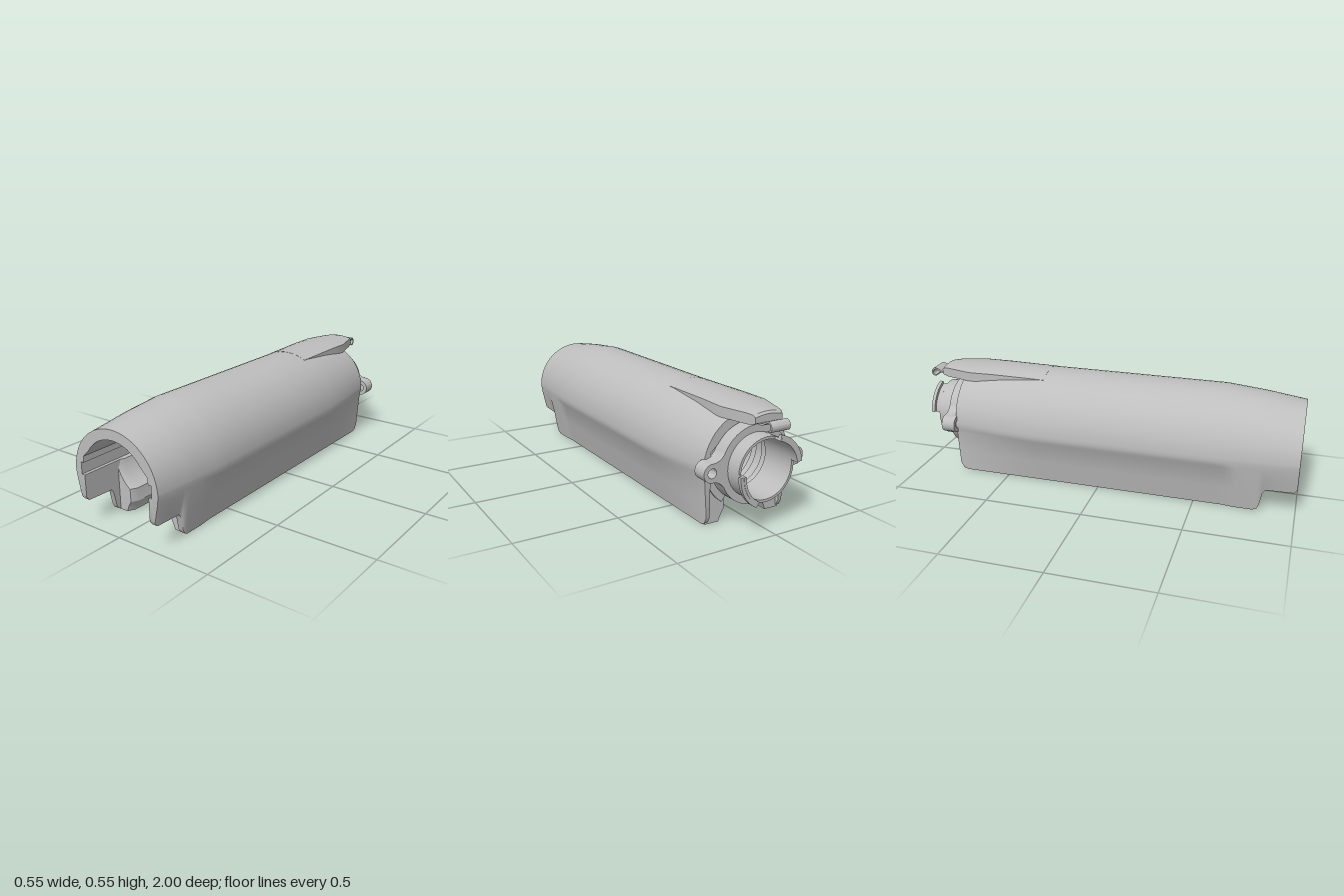
import * as THREE from 'three';
import { toCreasedNormals } from 'three/addons/utils/BufferGeometryUtils.js';

const CY = 0.272; // bore axis height

// Piecewise linear lookup; keys run in descending z
function ramp(keys, z) {
  for (let i = 0; i < keys.length - 1; i++) {
    const [z0, v0] = keys[i], [z1, v1] = keys[i + 1];
    if (z >= z1) return v0 + (v1 - v0) * Math.min(1, Math.max(0, (z - z0) / (z1 - z0)));
  }
  return keys[keys.length - 1][1];
}

// Skin a closed counter-clockwise section through descending z stations
function loft(stations, section, crease = 0.5) {
  const pos = [], idx = [];
  const rings = stations.map(section);
  const n = rings[0].length;
  rings.forEach((ring, i) => ring.forEach(([x, y]) => pos.push(x, y, stations[i])));
  for (let i = 0; i < rings.length - 1; i++) {
    for (let j = 0; j < n; j++) {
      const a = i * n + j, b = i * n + (j + 1) % n, c = a + n, d = b + n;
      idx.push(a, c, b, b, c, d);
    }
  }
  const cap = (k, flip) => {
    const pts = rings[k].map(([x, y]) => new THREE.Vector2(x, y));
    for (const [a, b, c] of THREE.ShapeUtils.triangulateShape(pts, [])) {
      const o = k * n;
      idx.push(o + a, o + (flip ? c : b), o + (flip ? b : c));
    }
  };
  cap(0, false);
  cap(rings.length - 1, true);
  const geo = new THREE.BufferGeometry();
  geo.setAttribute('position', new THREE.Float32BufferAttribute(pos, 3));
  geo.setIndex(idx);
  return toCreasedNormals(geo, crease);
}

// Extrude an xy shape between two z values
function slab(shape, zBack, zFront) {
  const geo = new THREE.ExtrudeGeometry(shape, { depth: zFront - zBack, bevelEnabled: false, curveSegments: 24 });
  return toCreasedNormals(geo.translate(0, 0, zBack), 0.5);
}

const halfWidth = [[1, 0.247], [0.8, 0.263], [0.6, 0.274], [-0.35, 0.274], [-0.55, 0.259], [-0.78, 0.232]];
const topHeight = [[1, 0.507], [0.8, 0.535], [0.6, 0.554], [-0.35, 0.552], [-0.55, 0.535], [-0.78, 0.505]];
const bottom = [[1, 0.14], [0.985, 0.122], [0.85, 0.118], [0.838, 0.1], [0.825, 0.03], [0.815, 0.01],
  [0.795, 0], [-0.74, 0], [-0.765, 0.01], [-0.78, 0.04]];
const footX = [[0.84, 0.222], [0.8, 0.218], [0.7, 0.218], [0.64, 0.211]];
const ledge = [[0.7, 0.006], [0.64, 0.014], [-0.35, 0.014], [-0.78, 0.008]];

// Arched wall: outer skin with soft side ledge, inner channel with a groove
function shellSection(z) {
  const w = ramp(halfWidth, z), h = ramp(topHeight, z) - 0.265;
  const yb = ramp(bottom, z), fx = ramp(footX, z), lx = w - ramp(ledge, z);
  const outer = [[fx, yb], [(fx + lx) / 2, (yb + 0.226) / 2], [lx, 0.226], [w - 0.004, 0.242], [w, 0.265]];
  for (let i = 0; i < 14; i++) {
    const a = (i + 0.5) / 14 * Math.PI / 2;
    outer.push([w * Math.cos(a), 0.265 + h * Math.sin(a)]);
  }
  const inner = [[0.193, yb], [0.193, 0.25], [0.21, 0.25], [0.21, 0.31], [0.193, 0.31], [0.193, 0.34]];
  for (let i = 0; i < 8; i++) {
    const a = (30 + 60 * (i + 0.5) / 8) * Math.PI / 180;
    inner.push([0.187 * Math.cos(a), CY + 0.187 * Math.sin(a)]);
  }
  const flip = (pts) => pts.map(([x, y]) => [-x, y]);
  return [...outer, ...flip(outer).reverse(), ...flip(inner), ...inner.slice().reverse()];
}

// Raised top tongue that overhangs the back
const tongueWidth = [[-0.32, 0.116], [-0.74, 0.122], [-0.82, 0.1], [-0.92, 0.072]];
const tongueTop = [[-0.32, 0.553], [-0.6, 0.551], [-0.88, 0.537], [-0.91, 0.532], [-0.92, 0.522]];
const tongueBase = [[-0.32, 0.505], [-0.7, 0.48], [-0.9, 0.477], [-0.92, 0.487]];
const tongueDrop = [[-0.32, 0.027], [-0.6, 0.022], [-0.92, 0.01]];
function tongueSection(z) {
  const w = ramp(tongueWidth, z), t = ramp(tongueTop, z), b = ramp(tongueBase, z);
  const pts = [[-w, b], [w, b]];
  for (let i = 0; i <= 10; i++) {
    const u = 1 - i / 5;
    pts.push([w * u, t - ramp(tongueDrop, z) * u * u]);
  }
  return pts;
}

// Flange outline with two screw ears
function flangeShape() {
  const s = new THREE.Shape(), r = 0.183, a = 0.42;
  const ex = 0.228, er = 0.043;
  const cx = r * Math.cos(a), sy = r * Math.sin(a);
  s.absarc(0, CY, r, a, Math.PI - a, false);
  s.quadraticCurveTo(-0.19, CY + er, -ex, CY + er);
  s.absarc(-ex, CY, er, Math.PI / 2, Math.PI * 1.5, false);
  s.quadraticCurveTo(-0.19, CY - er, -cx, CY - sy);
  s.absarc(0, CY, r, Math.PI + a, Math.PI * 2 - a, false);
  s.quadraticCurveTo(0.19, CY - er, ex, CY - er);
  s.absarc(ex, CY, er, -Math.PI / 2, Math.PI / 2, false);
  s.quadraticCurveTo(0.19, CY + er, cx, CY + sy);
  const hole = (x, rad) => s.holes.push(new THREE.Path().absarc(x, CY, rad, 0, Math.PI * 2, true));
  hole(0, 0.137);
  hole(ex, 0.022);
  hole(-ex, 0.022);
  return s;
}

// Part of a ring, angles in degrees
function sector(r0, r1, from, to) {
  const a = from * Math.PI / 180, b = to * Math.PI / 180;
  const s = new THREE.Shape();
  s.absarc(0, CY, r1, a, b, false);
  s.absarc(0, CY, r0, b, a, true);
  return s;
}

// Rail along the inside of each lower wall, chamfered at its front end
function railSection(z, side) {
  const c = ramp([[0.8, 0.018], [0.765, 0]], z);
  const pts = [[0.206, 0], [0.206, 0.25], [0.184 + c, 0.25]];
  for (let i = 1; i <= 8; i++) {
    const a = -(7 + 48 * i / 8) * Math.PI / 180;
    pts.push([0.185 * Math.cos(a) + c, CY + 0.185 * Math.sin(a)]);
  }
  for (const [x, y] of [[0.105, 0.055], [0.115, 0.04], [0.125, 0.02], [0.132, 0]]) pts.push([x + c, y]);
  return side > 0 ? pts : pts.map(([x, y]) => [-x, y]).reverse();
}

// Thin curled strip at the tip of the tongue
function hookGeometry() {
  const path = new THREE.CatmullRomCurve3([[0.89, 0.486], [0.935, 0.485], [0.958, 0.497], [0.98, 0.504],
    [0.996, 0.488], [0.992, 0.469], [0.976, 0.464]].map(([a, y]) => new THREE.Vector3(a, y, 0)));
  const left = [], right = [];
  for (let i = 0; i <= 28; i++) {
    const p = path.getPoint(i / 28), t = path.getTangent(i / 28);
    left.push(new THREE.Vector2(p.x - t.y * 0.004, p.y + t.x * 0.004));
    right.push(new THREE.Vector2(p.x + t.y * 0.004, p.y - t.x * 0.004));
  }
  const geo = new THREE.ExtrudeGeometry(new THREE.Shape([...left, ...right.reverse()]), { depth: 0.1, bevelEnabled: false });
  return toCreasedNormals(geo.translate(0, 0, -0.05).rotateY(Math.PI / 2), 0.6);
}

export function createModel() {
  const group = new THREE.Group();
  const grey = new THREE.MeshStandardMaterial({ color: 0xbebebe });
  grey.name = 'plain grey';
  const add = (name, geo) => {
    const mesh = new THREE.Mesh(geo, grey);
    mesh.name = name;
    group.add(mesh);
  };

  add('shell', loft([1, 0.985, 0.92, 0.85, 0.838, 0.825, 0.815, 0.795, 0.74, 0.7, 0.67, 0.64, 0.6, 0.4, 0,
    -0.35, -0.45, -0.55, -0.66, -0.74, -0.765, -0.78], shellSection, 0.7));
  add('topTongue', loft([-0.32, -0.46, -0.6, -0.74, -0.82, -0.88, -0.91, -0.92], tongueSection));
  add('hook', hookGeometry());

  for (const side of [1, -1]) {
    add(side > 0 ? 'leftRail' : 'rightRail', loft([0.8, 0.765, -0.76], (z) => railSection(z, side)));
  }

  // Stepped collar and tube around the bore, held by a bulkhead
  const profile = [[0.137, -0.92], [0.149, -0.92], [0.149, -0.84], [0.183, -0.84], [0.183, -0.6], [0.173, -0.6],
    [0.173, -0.64], [0.165, -0.64], [0.165, -0.7], [0.149, -0.7], [0.149, -0.74], [0.137, -0.74], [0.137, -0.92]];
  const collar = new THREE.LatheGeometry(profile.map(([r, z]) => new THREE.Vector2(r, z)), 48);
  add('collar', toCreasedNormals(collar.rotateX(Math.PI / 2).translate(0, CY, 0), 0.5));
  add('bulkhead', slab(sector(0.175, 0.215, -55, 235), -0.77, -0.7));
  add('flange', slab(flangeShape(), -0.843, -0.772));

  // Two opposite bayonet lugs on the tube end
  for (const [from, to] of [[105, 172], [298, 362]]) {
    add('lugWall', slab(sector(0.137, 0.149, from, to), -0.96, -0.915));
    add('lugRim', slab(sector(0.14, 0.165, from, to), -0.958, -0.94));
  }
  return group;
}
